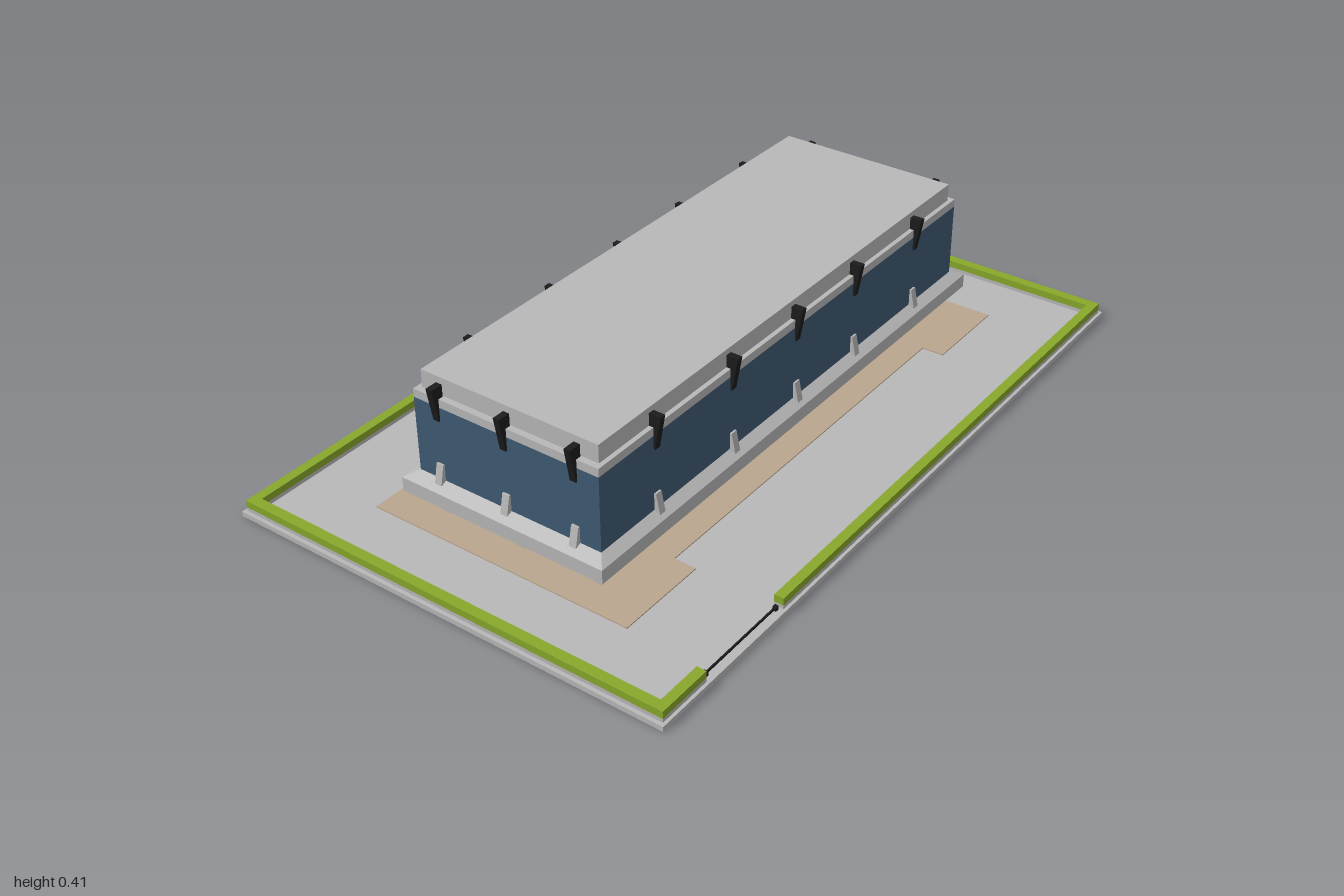
import * as THREE from 'three';

const mat = (name, color, extra = {}) => {
  const m = new THREE.MeshStandardMaterial({ color, ...extra });
  m.name = name;
  return m;
};

export function createModel() {
  const concrete = mat('concrete grey', 0xb8b8b8);
  const glass = mat('window grey', 0x858585);
  const blue = mat('cladding blue', 0x3f5a73);
  const tan = mat('paving tan', 0xbaa68e);
  const green = mat('hedge green', 0x88a82a);
  const black = mat('metal black', 0x1c1c1c);

  const model = new THREE.Group();
  model.name = 'buildingOnPlot';

  const add = (name, geometry, material) => {
    const mesh = new THREE.Mesh(geometry, material);
    mesh.name = name;
    model.add(mesh);
    return mesh;
  };
  // Box given by its limits on each axis
  const box = (name, material, x0, x1, y0, y1, z0, z1) =>
    add(name, new THREE.BoxGeometry(x1 - x0, y1 - y0, z1 - z0), material)
      .position.set((x0 + x1) / 2, (y0 + y1) / 2, (z0 + z1) / 2);
  // Centred box
  const block = (name, material, hx, hz, y0, y1) => box(name, material, -hx, hx, y0, y1, -hz, hz);

  // Plot
  const ground = 0.013;
  block('groundSlab', concrete, 1, 0.613, 0, ground);

  // Paving with wider wings at both ends
  const pave = new THREE.Shape();
  const outline = [[0.8, 0.37], [0.55, 0.37], [0.55, 0.31], [-0.555, 0.31], [-0.555, 0.37], [-0.805, 0.37]];
  pave.setFromPoints([...outline, ...outline.map(([x, z]) => [x, -z]).reverse()]
    .map(([x, z]) => new THREE.Vector2(x, z)));
  const paving = new THREE.ExtrudeGeometry(pave, { depth: 0.003, bevelEnabled: false });
  paving.rotateX(-Math.PI / 2);
  add('paving', paving, tan).position.y = ground;

  // Hedges on low kerbs; the front and back runs each leave a gate opening
  const hedge = (x0, x1, z0, z1) => {
    box('kerb', concrete, x0, x1, ground, 0.023, z0, z1);
    box('hedge', green, x0, x1, 0.023, 0.042, z0, z1);
  };
  for (const s of [-1, 1]) {
    const z0 = s > 0 ? 0.58 : -0.605;
    const x0 = s > 0 ? 0.963 : -0.99;
    hedge(x0, x0 + 0.027, -0.605, 0.605);
    const run = (a, b) => hedge(Math.min(-s * a, -s * b), Math.max(-s * a, -s * b), z0, z0 + 0.025);
    run(0.963, 0.84);
    run(0.555, -0.963);
    // Sliding gate with end stops
    const gz = s * 0.592;
    const gx = -s * 0.697;
    box('gateRail', black, gx - 0.137, gx + 0.137, 0.017, 0.022, gz - 0.002, gz + 0.002);
    for (const e of [-0.13, 0.13])
      box('gatePost', black, gx + e - 0.005, gx + e + 0.005, ground, 0.024, gz - 0.005, gz + 0.005);
  }

  // Recessed ground floor
  block('groundFloorWall', concrete, 0.7, 0.205, ground, 0.09);
  const longColumns = [-0.713, -0.555, -0.265, 0, 0.26, 0.55, 0.713];
  const column = (x, z) => box('column', concrete, x - 0.011, x + 0.011, ground, 0.09, z - 0.011, z + 0.011);
  for (const s of [-1, 1]) {
    longColumns.forEach(x => column(x, s * 0.223));
    column(s * 0.713, 0);
    for (const [a, b] of [[-0.695, -0.575], [-0.53, -0.29], [-0.21, -0.055], [0.045, 0.255], [0.355, 0.54], [0.57, 0.69]])
      box('window', glass, a, b, 0.035, 0.076, s * 0.207 - 0.003, s * 0.207 + 0.003);
    for (const z of [-0.11, 0.11])
      box('endWindow', glass, s * 0.702 - 0.003, s * 0.702 + 0.003, 0.035, 0.076, z - 0.06, z + 0.06);
  }

  // Projecting floor slab with a sloped skirt
  const bodyX = 0.754, bodyZ = 0.264;
  block('floorSlab', concrete, 0.788, 0.292, 0.086, 0.123);
  const skirt = new THREE.BoxGeometry(1.576, 0.015, 0.584);
  const p = skirt.attributes.position;
  for (let i = 0; i < p.count; i++)
    if (p.getY(i) > 0) p.setXYZ(i, Math.sign(p.getX(i)) * bodyX, p.getY(i), Math.sign(p.getZ(i)) * bodyZ);
  skirt.computeVertexNormals();
  add('slopedSkirt', skirt, concrete).position.y = 0.1305;

  // Upper storey, parapet band and roof
  block('upperStorey', blue, bodyX, bodyZ, 0.136, 0.336);
  block('parapetBand', concrete, bodyX, bodyZ, 0.336, 0.358);
  block('roof', concrete, 0.737, 0.252, 0.358, 0.405);

  // Wall fittings: profiles of (distance out of the wall, height)
  const fitting = (profile, width) => {
    const shape = new THREE.Shape(profile.map(([d, y]) => new THREE.Vector2(d, y)));
    const g = new THREE.ExtrudeGeometry(shape, { depth: width, bevelEnabled: false });
    return g.translate(0, 0, -width / 2);
  };
  const foot = fitting([[-0.004, 0.13], [0.016, 0.13], [0.005, 0.182], [-0.004, 0.182]], 0.02);
  const bracket = fitting([[-0.004, 0.3], [0.004, 0.3], [0.02, 0.39], [-0.014, 0.39], [-0.014, 0.358], [-0.004, 0.358]], 0.017);
  const place = (x, z, turn) => {
    for (const [name, g, m] of [['wallFoot', foot, concrete], ['eaveBracket', bracket, black]]) {
      const mesh = add(name, g, m);
      mesh.position.set(x, 0, z);
      mesh.rotation.y = turn;
    }
  };
  for (const x of [-0.555, -0.265, 0, 0.26, 0.55]) {
    place(x, bodyZ, -Math.PI / 2);
    place(x, -bodyZ, Math.PI / 2);
  }
  for (const z of [-0.196, 0.196]) place(bodyX, z, 0);
  for (const z of [-0.196, 0, 0.196]) place(-bodyX, z, Math.PI);

  return model;
}
